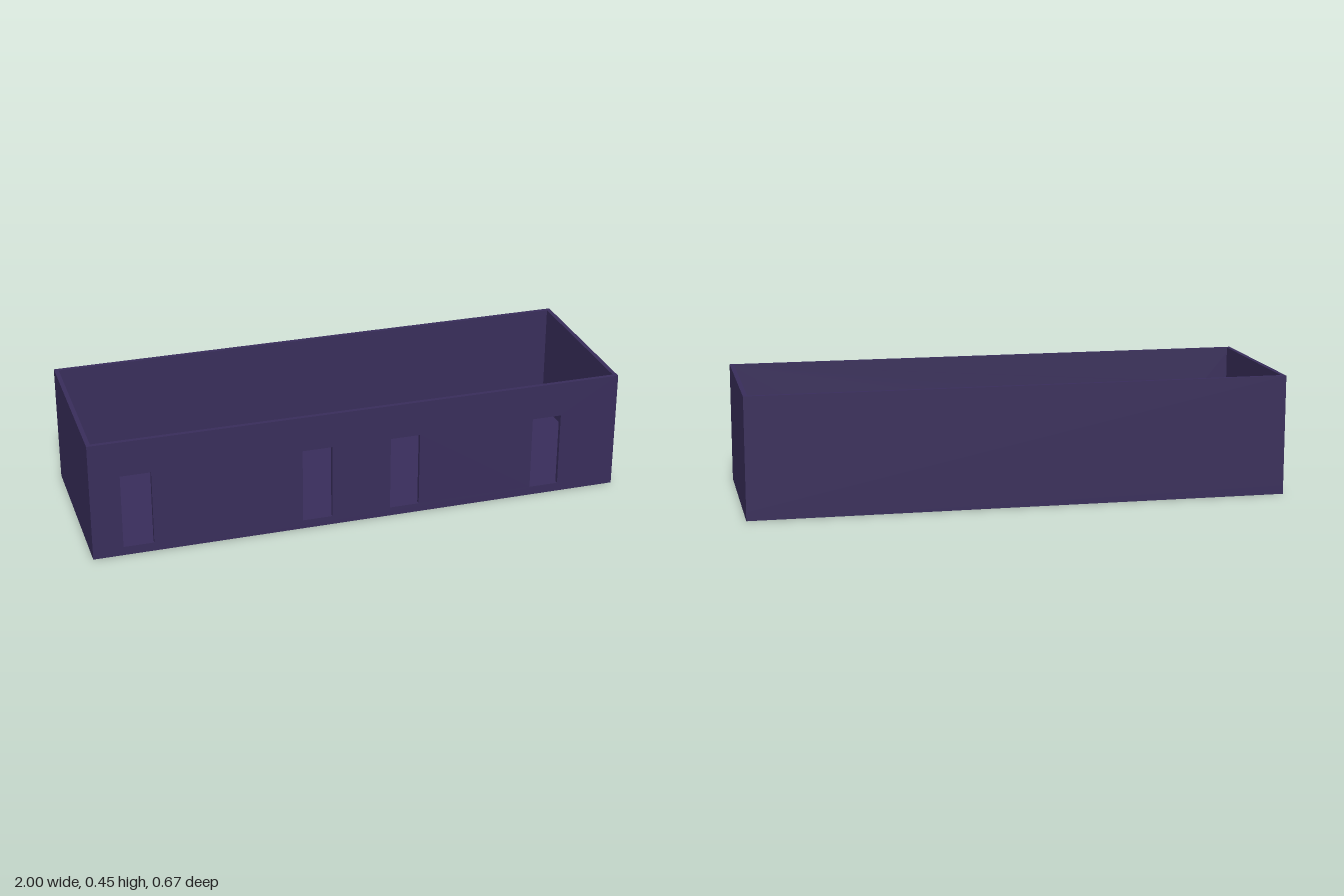
import * as THREE from 'three';

const LENGTH = 2, DEPTH = 0.667, HEIGHT = 0.45;
const FLOOR = 0.033, WALL = 0.016;
const DOOR_WIDTH = 0.112, DOOR_TOP = 0.317;
const DOORS = [-0.833, -0.167, 0.167, 0.721]; // centre of each doorway

export function createModel() {
  const model = new THREE.Group();
  model.name = 'openBuilding';
  const material = new THREE.MeshStandardMaterial({ color: 0x382d5a });

  const add = (name, geometry, x, y, z) => {
    const mesh = new THREE.Mesh(geometry, material);
    mesh.name = name;
    mesh.position.set(x, y, z);
    model.add(mesh);
  };

  // Floor slab, a hair short of the back wall's outer face
  add('floor', new THREE.BoxGeometry(LENGTH, FLOOR, DEPTH - 0.001), 0, FLOOR / 2, 0.0005);

  // Plain back and end walls, standing on the slab
  const wallHeight = HEIGHT - FLOOR;
  const wallY = FLOOR + wallHeight / 2;
  add('backWall', new THREE.BoxGeometry(LENGTH, wallHeight, WALL), 0, wallY, -(DEPTH - WALL) / 2);
  for (const [name, side] of [['leftWall', 1], ['rightWall', -1]]) {
    add(name, new THREE.BoxGeometry(WALL, wallHeight, DEPTH - 2 * WALL), side * (LENGTH - WALL) / 2, wallY, 0);
  }

  // Front wall outline, notched by the doorways that reach down to the floor
  const outline = new THREE.Shape();
  outline.moveTo(-LENGTH / 2, FLOOR);
  for (const x of DOORS) {
    const a = x - DOOR_WIDTH / 2, b = x + DOOR_WIDTH / 2;
    outline.lineTo(a, FLOOR);
    outline.lineTo(a, DOOR_TOP);
    outline.lineTo(b, DOOR_TOP);
    outline.lineTo(b, FLOOR);
  }
  outline.lineTo(LENGTH / 2, FLOOR);
  outline.lineTo(LENGTH / 2, HEIGHT);
  outline.lineTo(-LENGTH / 2, HEIGHT);
  outline.closePath();
  add('frontWall', new THREE.ExtrudeGeometry(outline, { depth: WALL, bevelEnabled: false }), 0, 0, DEPTH / 2 - WALL);

  return model;
}
